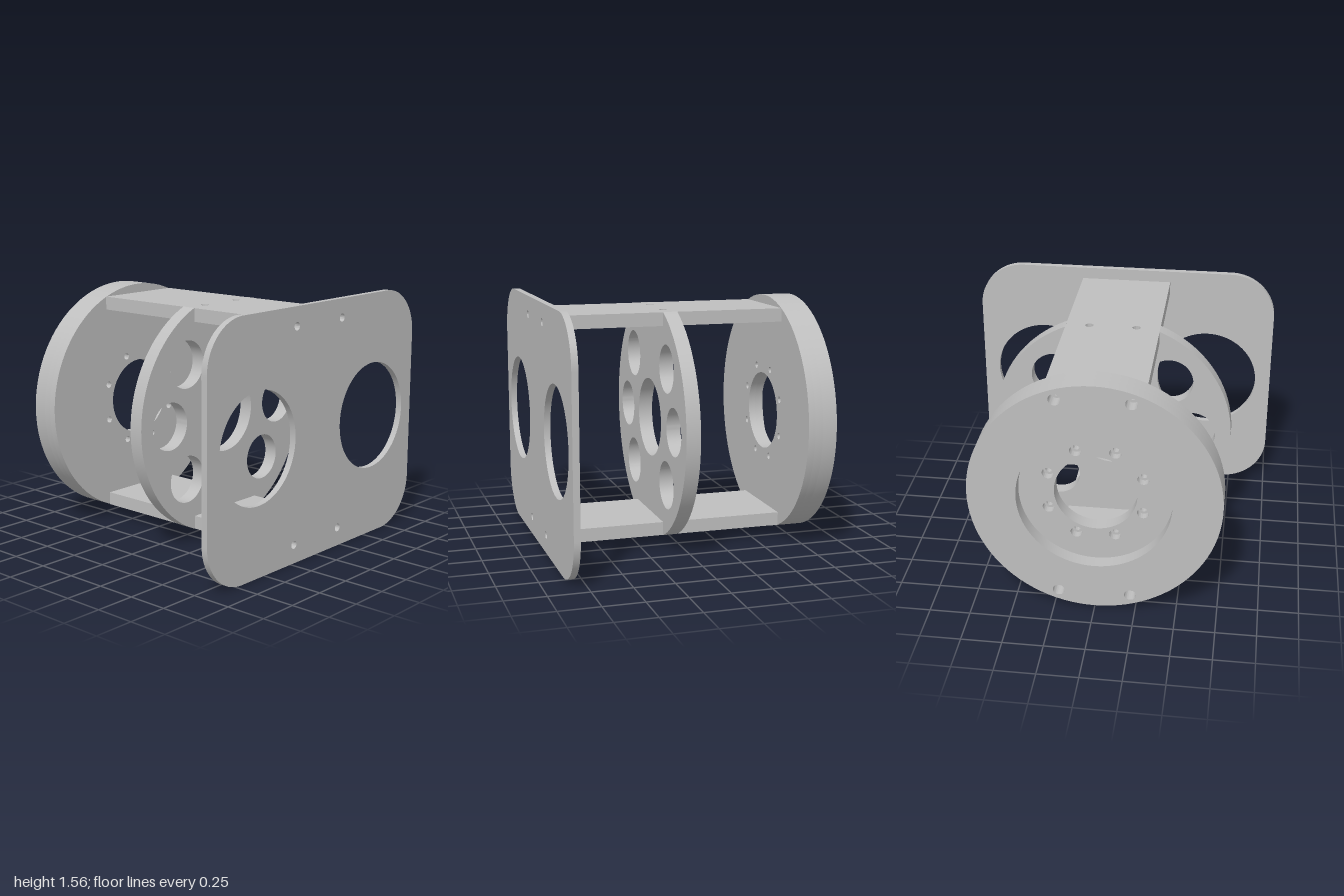
import * as THREE from 'three';
import { toCreasedNormals } from 'three/addons/utils/BufferGeometryUtils.js';

const CY = 0.78; // height of the common axis
const BOLT_Y = 0.6625, BOLT_Z = 0.22; // bolts joining the rails to the end parts

const metal = new THREE.MeshStandardMaterial({ color: 0xbebebe });
metal.name = 'grey metal';

function addHole(shape, x, y, r) {
  shape.holes.push(new THREE.Path().absarc(x, y, r, 0, Math.PI * 2, true));
}

function addRailBolts(shape, r) {
  for (const sx of [-1, 1]) for (const sy of [-1, 1]) addHole(shape, sx * BOLT_Z, sy * BOLT_Y, r);
}

function addHoleCircle(shape, count, ring, r, start) {
  for (let i = 0; i < count; i++) {
    const a = start + (i / count) * Math.PI * 2;
    addHole(shape, Math.cos(a) * ring, Math.sin(a) * ring, r);
  }
}

function disc(r) {
  return new THREE.Shape().absarc(0, 0, r, 0, Math.PI * 2, false);
}

function extrude(shape, depth) {
  const geo = new THREE.ExtrudeGeometry(shape, { depth, bevelEnabled: false, curveSegments: 48 });
  return toCreasedNormals(geo, 0.5);
}

// Plate lying across the x axis, from x0 to x1
function crossPlate(name, shape, x0, x1) {
  const geo = extrude(shape, x1 - x0);
  geo.rotateY(Math.PI / 2);
  geo.translate(x0, CY, 0);
  const mesh = new THREE.Mesh(geo, metal);
  mesh.name = name;
  return mesh;
}

function mountingPlate() {
  const w = 1, h = 0.78, r = 0.3;
  const s = new THREE.Shape();
  s.absarc(w - r, h - r, r, 0, Math.PI / 2, false);
  s.absarc(-w + r, h - r, r, Math.PI / 2, Math.PI, false);
  s.absarc(-w + r, -h + r, r, Math.PI, Math.PI * 1.5, false);
  s.absarc(w - r, -h + r, r, Math.PI * 1.5, Math.PI * 2, false);
  s.closePath();
  for (const side of [-1, 1]) addHole(s, side * 0.56, 0, 0.34);
  addRailBolts(s, 0.025);
  return crossPlate('mountingPlate', s, 0.805, 0.845);
}

// Disc notched at top and bottom to seat the rails
function middleDisc() {
  const R = 0.765, nz = 0.295, ny = 0.62;
  const a = Math.acos(nz / R);
  const s = new THREE.Shape();
  s.absarc(0, 0, R, -a, a, false);
  s.lineTo(nz, ny);
  s.lineTo(-nz, ny);
  s.absarc(0, 0, R, Math.PI - a, Math.PI + a, false);
  s.lineTo(-nz, -ny);
  s.lineTo(nz, -ny);
  s.closePath();
  addHole(s, 0, 0, 0.25);
  for (const side of [0, Math.PI]) {
    for (const t of [-1, 0, 1]) {
      const b = side + (t * Math.PI) / 4;
      addHole(s, Math.cos(b) * 0.515, Math.sin(b) * 0.515, 0.15);
    }
  }
  return crossPlate('middleDisc', s, 0.02, 0.11);
}

// Thick flange built in layers: recessed rim, counterbored floor, inner face
function endFlange() {
  const g = new THREE.Group();
  g.name = 'endFlange';
  const R = 0.762;

  const rim = disc(R);
  addHole(rim, 0, 0, 0.465);
  addRailBolts(rim, 0.036);
  g.add(crossPlate('flangeRim', rim, -0.85, -0.76));

  const layers = [['flangeFloor', 0.036, -0.76, -0.71], ['flangeInnerFace', 0.021, -0.71, -0.667]];
  for (const [name, boltR, x0, x1] of layers) {
    const s = disc(R);
    addHole(s, 0, 0, 0.25);
    addHoleCircle(s, 8, 0.308, boltR, Math.PI / 8);
    addRailBolts(s, 0.021);
    g.add(crossPlate(name, s, x0, x1));
  }
  return g;
}

// Flat bar along x with two screw holes above the middle disc
function rail(name, y) {
  const x0 = -0.667, x1 = 0.805, hz = 0.295, t = 0.084;
  const s = new THREE.Shape();
  s.moveTo(x0, -hz);
  s.lineTo(x1, -hz);
  s.lineTo(x1, hz);
  s.lineTo(x0, hz);
  s.closePath();
  for (const side of [-1, 1]) addHole(s, 0.065, side * 0.148, 0.025);
  const geo = extrude(s, t);
  geo.rotateX(-Math.PI / 2);
  geo.translate(0, y - t / 2, 0);
  const mesh = new THREE.Mesh(geo, metal);
  mesh.name = name;
  return mesh;
}

export function createModel() {
  const model = new THREE.Group();
  model.name = 'flangedFrame';
  model.add(
    mountingPlate(),
    middleDisc(),
    endFlange(),
    rail('topRail', CY + BOLT_Y),
    rail('bottomRail', CY - BOLT_Y)
  );
  return model;
}
